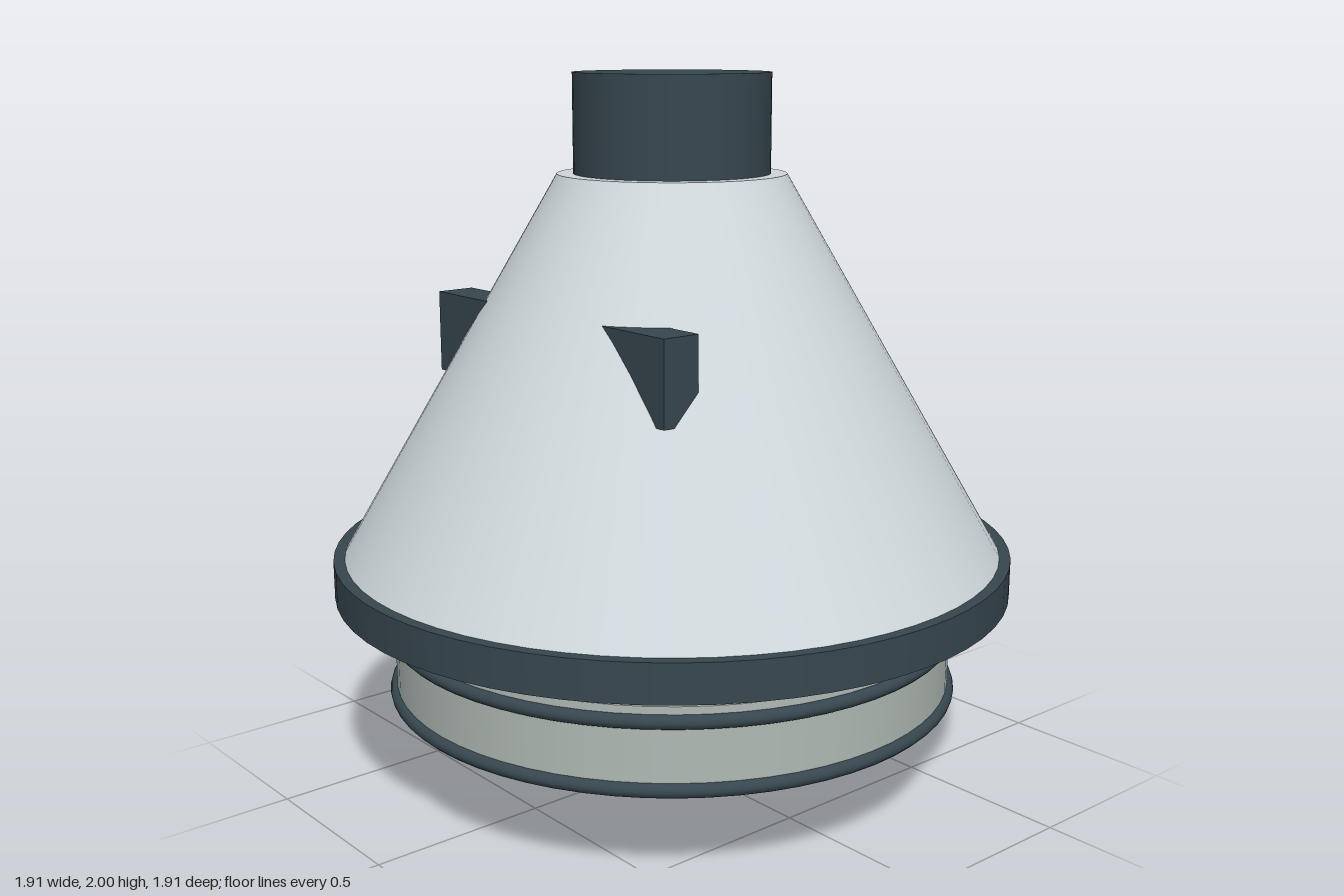
import * as THREE from 'three';

const mat = (color, side = THREE.FrontSide) => new THREE.MeshStandardMaterial({ color, side });

export function createModel() {
  const model = new THREE.Group();
  model.name = 'spaceCapsule';

  const dark = mat(0x37474f);
  const hull = mat(0xcfd8dc);
  const grey = mat(0xb0bab5);
  const gold = mat(0xb8863b);

  const add = (name, geometry, material, x = 0, y = 0, z = 0) => {
    const mesh = new THREE.Mesh(geometry, material);
    mesh.name = name;
    mesh.position.set(x, y, z);
    model.add(mesh);
    return mesh;
  };
  // Upright drum or cone between two heights
  const drum = (name, rTop, rBottom, y0, y1, material) =>
    add(name, new THREE.CylinderGeometry(rTop, rBottom, y1 - y0, 64), material, 0, (y0 + y1) / 2, 0);

  // Crew cabin, docking collar and heat shield
  drum('cabinCone', 0.315, 0.926, 0.68, 1.73, hull);
  drum('dockingCollar', 0.27, 0.27, 1.73, 2, dark);
  drum('heatShield', 0.957, 0.957, 0.574, 0.68, dark);

  // Service drum with two rounded bands
  drum('serviceDrum', 0.796, 0.796, 0.265, 0.503, grey);
  for (const [name, y] of [['lowerBand', 0.281], ['upperBand', 0.463]]) {
    add(name, new THREE.TorusGeometry(0.796, 0.019, 12, 64).rotateX(Math.PI / 2), dark, 0, y, 0);
  }

  // Four fuel tanks that bulge out of both faces of the drum
  for (let i = 0; i < 4; i++) {
    const a = (i * Math.PI) / 2;
    add('fuelTank', new THREE.SphereGeometry(0.131, 32, 24), gold, 0.405 * Math.cos(a), 0.384, 0.405 * Math.sin(a));
  }

  // Thruster blocks sunk into the cone, mirrored left and right
  for (const side of [1, -1]) {
    add(side > 0 ? 'leftThrusterBlock' : 'rightThrusterBlock',
      new THREE.BoxGeometry(0.25, 0.225, 0.11), dark, side * 0.37, 1.277, 0.39);
  }

  // Engine bell: open at the bottom, pinched at the throat
  const bell = [[0.16, 0], [0.125, 0.052], [0.09, 0.109], [0.06, 0.163], [0.039, 0.21],
    [0.031, 0.235], [0.034, 0.25], [0.042, 0.267]].map(([r, y]) => new THREE.Vector2(r, y));
  add('engineBell', new THREE.LatheGeometry(bell, 48), mat(0x37474f, THREE.DoubleSide));

  return model;
}
